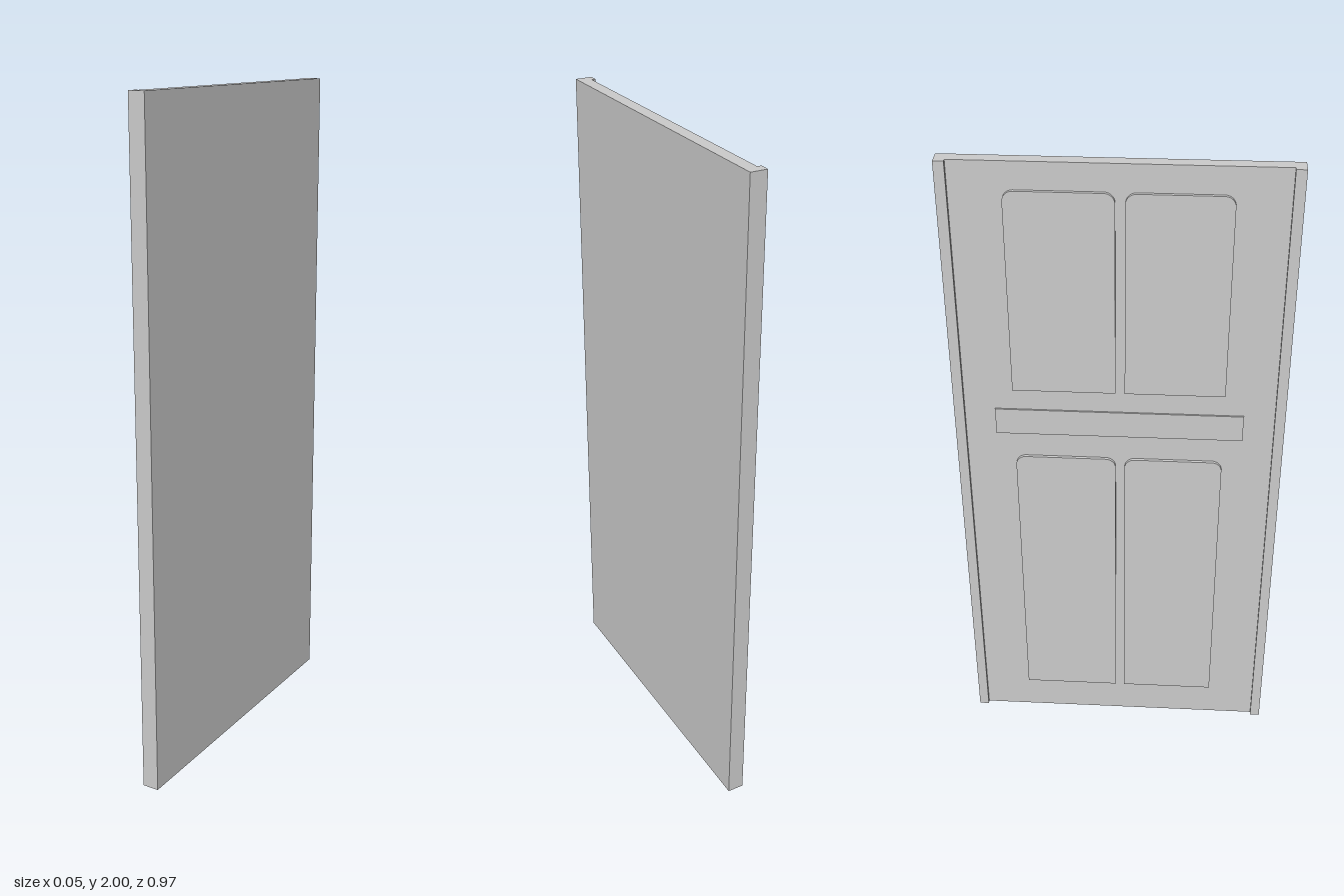
import * as THREE from 'three';

const material = new THREE.MeshStandardMaterial({ color: 0xcccccc, flatShading: true });

const FACE = -0.013; // x of the recessed door face
const HALF_WIDTH = 0.485;

// Box given by its limits on each axis
function slab(name, [x0, x1], [y0, y1], [z0, z1]) {
  const mesh = new THREE.Mesh(new THREE.BoxGeometry(x1 - x0, y1 - y0, z1 - z0), material);
  mesh.position.set((x0 + x1) / 2, (y0 + y1) / 2, (z0 + z1) / 2);
  mesh.name = name;
  return mesh;
}

// Raised panel with rounded upper corners, standing out toward -x
function raisedPanel(name, [z0, z1], [y0, y1], depth = 0.0095, r = 0.03) {
  const shape = new THREE.Shape();
  shape.moveTo(z0, y0);
  shape.lineTo(z1, y0);
  shape.lineTo(z1, y1 - r);
  shape.absarc(z1 - r, y1 - r, r, 0, Math.PI / 2, false);
  shape.absarc(z0 + r, y1 - r, r, Math.PI / 2, Math.PI, false);
  shape.closePath();
  const geometry = new THREE.ExtrudeGeometry(shape, { depth, bevelEnabled: false, curveSegments: 6 });
  geometry.rotateY(-Math.PI / 2);
  const mesh = new THREE.Mesh(geometry, material);
  mesh.position.x = FACE;
  mesh.name = name;
  return mesh;
}

export function createModel() {
  const door = new THREE.Group();
  door.name = 'door';

  // Door leaf
  door.add(slab('doorLeaf', [FACE, 0.025], [0, 2], [-HALF_WIDTH, HALF_WIDTH]));

  // Raised edge strips along both upright sides
  door.add(slab('backEdgeStrip', [-0.025, FACE], [0, 2], [-HALF_WIDTH, -0.455]));
  door.add(slab('frontEdgeStrip', [-0.025, FACE], [0, 2], [0.455, HALF_WIDTH]));

  // Flat rail between the two rows of panels
  door.add(slab('middleRail', [-0.018, FACE], [1.145, 1.23], [-0.365, 0.365]));

  // Two columns of panels, upper and lower
  const columns = { back: [-0.31, -0.01], front: [0.017, 0.308] };
  const rows = { Upper: [1.3, 1.92], Lower: [0.12, 1.065] };
  for (const [column, zRange] of Object.entries(columns)) {
    for (const [row, yRange] of Object.entries(rows)) {
      door.add(raisedPanel(`${column}${row}Panel`, zRange, yRange));
    }
  }
  return door;
}
